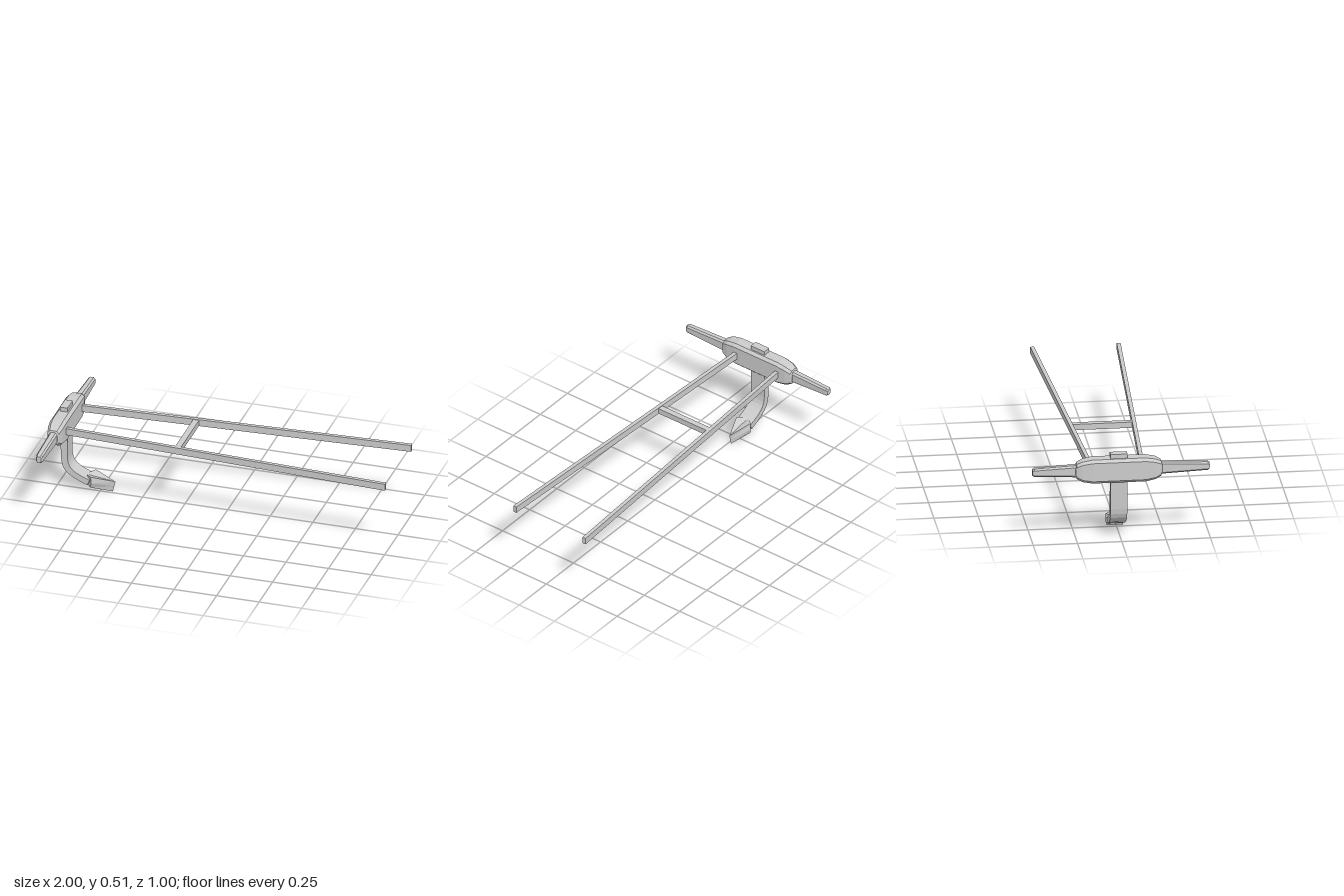
import * as THREE from 'three';

const MID = -0.0125; // z of the plough's own middle plane

// Skin over a list of rings; each ring runs counter-clockwise seen from the far end.
function loft(rings) {
  const n = rings[0].length, pos = rings.flat(2), idx = [];
  for (let r = 0; r < rings.length - 1; r++) {
    for (let i = 0; i < n; i++) {
      const a = r * n + i, b = r * n + (i + 1) % n;
      idx.push(a, b, b + n, a, b + n, a + n);
    }
  }
  const last = (rings.length - 1) * n;
  for (let i = 1; i < n - 1; i++) {
    idx.push(0, i + 1, i, last, last + i, last + i + 1);
  }
  const geo = new THREE.BufferGeometry();
  geo.setAttribute('position', new THREE.Float32BufferAttribute(pos, 3));
  geo.setIndex(idx);
  const flat = geo.toNonIndexed();
  flat.computeVertexNormals();
  return flat;
}

// Chamfered rectangle across z, centred on the head beam's axis.
function octagon(z, hx, hy, c) {
  return [[hx, c - hy], [hx, hy - c], [hx - c, hy], [c - hx, hy],
    [-hx, hy - c], [-hx, c - hy], [c - hx, -hy], [hx - c, -hy]]
    .map(([x, y]) => [-0.9525 + x, 0.42 + y, z]);
}

export function createModel() {
  const group = new THREE.Group();
  const material = new THREE.MeshStandardMaterial({ color: 0xcccccc, flatShading: true });
  const add = (name, geo) => {
    const mesh = new THREE.Mesh(geo, material);
    mesh.name = name;
    group.add(mesh);
    return mesh;
  };

  // Head beam with rounded-off ends
  const half = [[-0.245, 0.026, 0.025, 0.012], [-0.238, 0.034, 0.044, 0.014],
    [-0.205, 0.043, 0.060, 0.015], [-0.150, 0.047, 0.070, 0.016]];
  const beam = [...half, ...half.map(([z, ...s]) => [-z, ...s]).reverse()];
  add('headBeam', loft(beam.map(([z, ...s]) => octagon(MID + z, ...s))));

  // Tapered grips on both ends of the beam
  add('leftHandle', loft([octagon(0.2, 0.023, 0.036, 0.01),
    octagon(0.49, 0.02, 0.024, 0.009), octagon(0.5, 0.014, 0.017, 0.007)]));
  add('rightHandle', loft([octagon(-0.5, 0.014, 0.017, 0.007),
    octagon(-0.49, 0.02, 0.024, 0.009), octagon(-0.23, 0.023, 0.036, 0.01)]));

  // Two shafts spreading toward the far end
  const x0 = -0.93, x1 = 0.997, spread = 0.1;
  for (const side of [1, -1]) {
    const shaft = add(side > 0 ? 'leftShaft' : 'rightShaft',
      new THREE.BoxGeometry(Math.hypot(x1 - x0, spread), 0.04, 0.022));
    shaft.position.set((x0 + x1) / 2, 0.42, -0.02 + side * 0.194);
    shaft.rotation.y = -side * Math.atan2(spread, x1 - x0);
  }
  const crossbar = add('crossbar', new THREE.BoxGeometry(0.034, 0.034, 0.35));
  crossbar.position.set(-0.245, 0.42, -0.02);

  // Peg end of the shank above the beam
  const peg = add('peg', new THREE.BoxGeometry(0.045, 0.06, 0.095));
  peg.position.set(-0.9525, 0.485, MID);

  // Curved shank
  const profile = new THREE.Shape();
  profile.moveTo(-0.975, 0.37);
  profile.lineTo(-0.967, 0.185);
  profile.bezierCurveTo(-0.963, 0.115, -0.925, 0.088, -0.815, 0.045);
  profile.lineTo(-0.80, 0.078);
  profile.bezierCurveTo(-0.90, 0.115, -0.925, 0.135, -0.93, 0.195);
  profile.lineTo(-0.932, 0.37);
  const shank = new THREE.ExtrudeGeometry(profile, { depth: 0.095, bevelEnabled: false, curveSegments: 6 });
  shank.translate(0, 0, MID - 0.0475);
  add('shank', shank);

  // Kite-shaped pointed share, tipped downward
  const kite = (tip, wing, back, w) => [[...tip, MID - 0.004], [...wing, MID - 0.004 - w],
    [...back, MID - 0.004], [...wing, MID - 0.004 + w]];
  add('share', loft([
    kite([-0.68, 0.002], [-0.80, 0.030], [-0.84, 0.045], 0.046),
    kite([-0.672, 0.035], [-0.79, 0.060], [-0.845, 0.065], 0.053),
    kite([-0.665, 0.065], [-0.795, 0.098], [-0.84, 0.088], 0.05),
  ]));

  return group;
}
